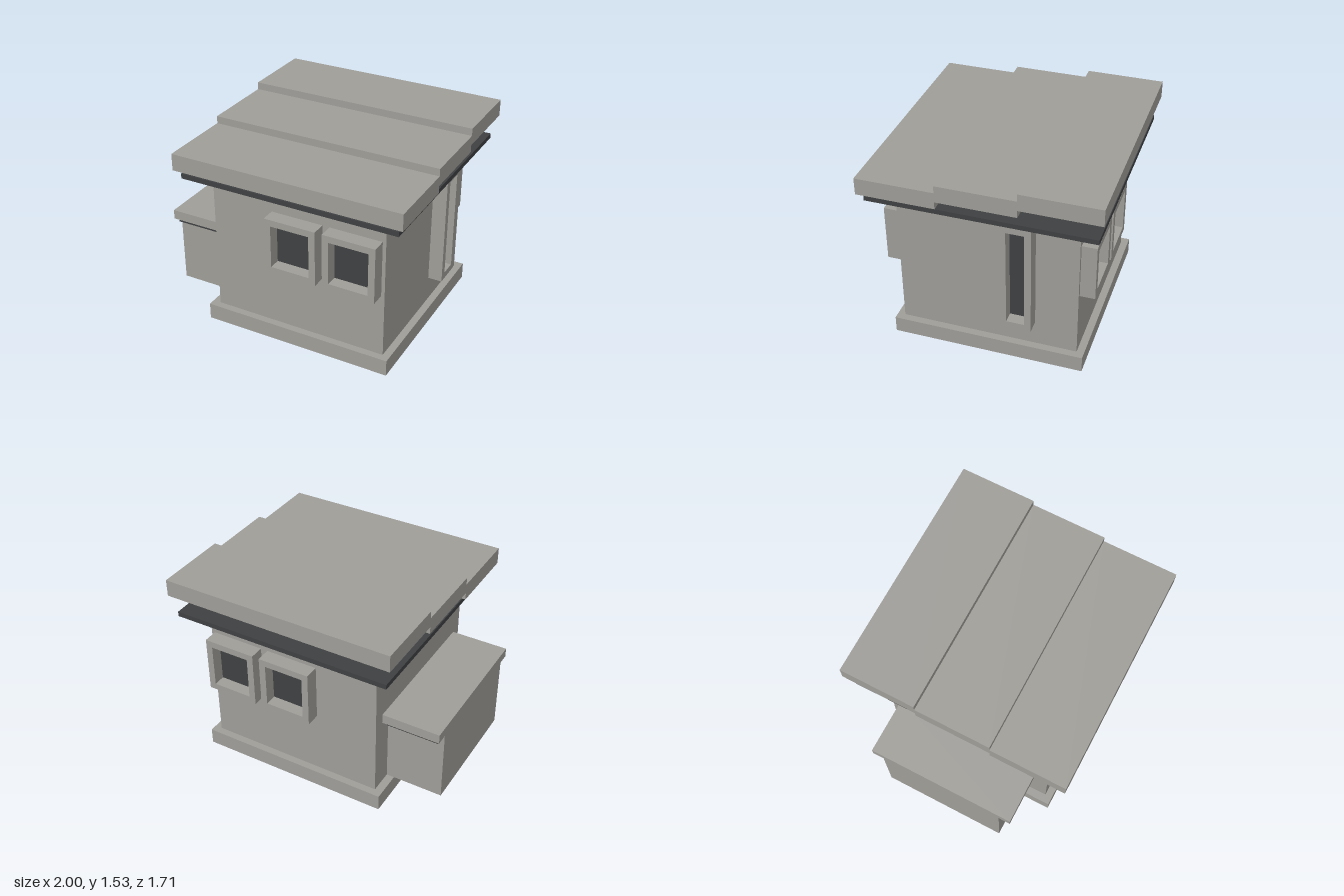
import * as THREE from 'three';

const wallMat = new THREE.MeshStandardMaterial({ color: 0x9f9d98 });
const darkMat = new THREE.MeshStandardMaterial({ color: 0x3e4042 });

// Axis-aligned block given by its limits on each axis
function block(name, [x0, x1], [y0, y1], [z0, z1], mat = wallMat) {
  const mesh = new THREE.Mesh(new THREE.BoxGeometry(x1 - x0, y1 - y0, z1 - z0), mat);
  mesh.position.set((x0 + x1) / 2, (y0 + y1) / 2, (z0 + z1) / 2);
  mesh.name = name;
  return mesh;
}

// Projecting window facing +z, centred on its own origin with its back on z = 0
function projectingWindow(name, w, h, depth, border = 0.05) {
  const rect = (target, a, b) => {
    target.moveTo(-a, -b);
    target.lineTo(a, -b);
    target.lineTo(a, b);
    target.lineTo(-a, b);
    target.closePath();
    return target;
  };
  const iw = w / 2 - border, ih = h / 2 - border;
  const outline = rect(new THREE.Shape(), w / 2, h / 2);
  outline.holes.push(rect(new THREE.Path(), iw, ih));
  const frame = new THREE.Mesh(new THREE.ExtrudeGeometry(outline, { depth, bevelEnabled: false }), wallMat);
  frame.name = 'windowFrame';
  const group = new THREE.Group();
  group.name = name;
  group.add(frame, block('windowGlass', [-iw, iw], [-ih, ih], [0, 0.02], darkMat));
  return group;
}

export function createModel() {
  const model = new THREE.Group();
  model.name = 'house';

  // Plinth, walls and the dark slab under the roof
  model.add(
    block('plinth', [-0.62, 0.855], [0, 0.125], [-0.715, 0.715]),
    block('mainWalls', [-0.56, 0.8], [0.125, 1.264], [-0.66, 0.66]),
    block('eavesSlab', [-0.715, 0.957], [1.223, 1.26], [-0.82, 0.82], darkMat),
  );

  // Three roof slabs stepping up towards the back
  for (let i = 0; i < 3; i++) {
    const z = 0.857 - i * 0.571, y = 1.293 + i * 0.055;
    model.add(block('roofStep', [-0.757, 1], [y, y + 0.127], [z - 0.571, z]));
  }

  // Side annex with its own roof and dark band
  model.add(
    block('annexWalls', [-1, -0.56], [0.125, 0.692], [-0.48, 0.48]),
    block('annexBand', [-0.98, -0.583], [0.657, 0.692], [-0.54, 0.54], darkMat),
    block('annexRoof', [-1, -0.56], [0.692, 0.764], [-0.57, 0.57]),
  );

  // Paired windows on the front and back walls
  for (const side of [1, -1]) {
    for (const x of [0.12, 0.574]) {
      const win = projectingWindow(side > 0 ? 'frontWindow' : 'backWindow', 0.4, 0.43, 0.11);
      win.position.set(x, 0.833, side * 0.66);
      win.rotation.y = side > 0 ? 0 : Math.PI;
      model.add(win);
    }
  }

  // Tall narrow window on the right wall
  const tall = projectingWindow('sideWindow', 0.23, 0.868, 0.107);
  tall.position.set(0.8, 0.753, -0.235);
  tall.rotation.y = Math.PI / 2;
  model.add(tall);

  return model;
}
